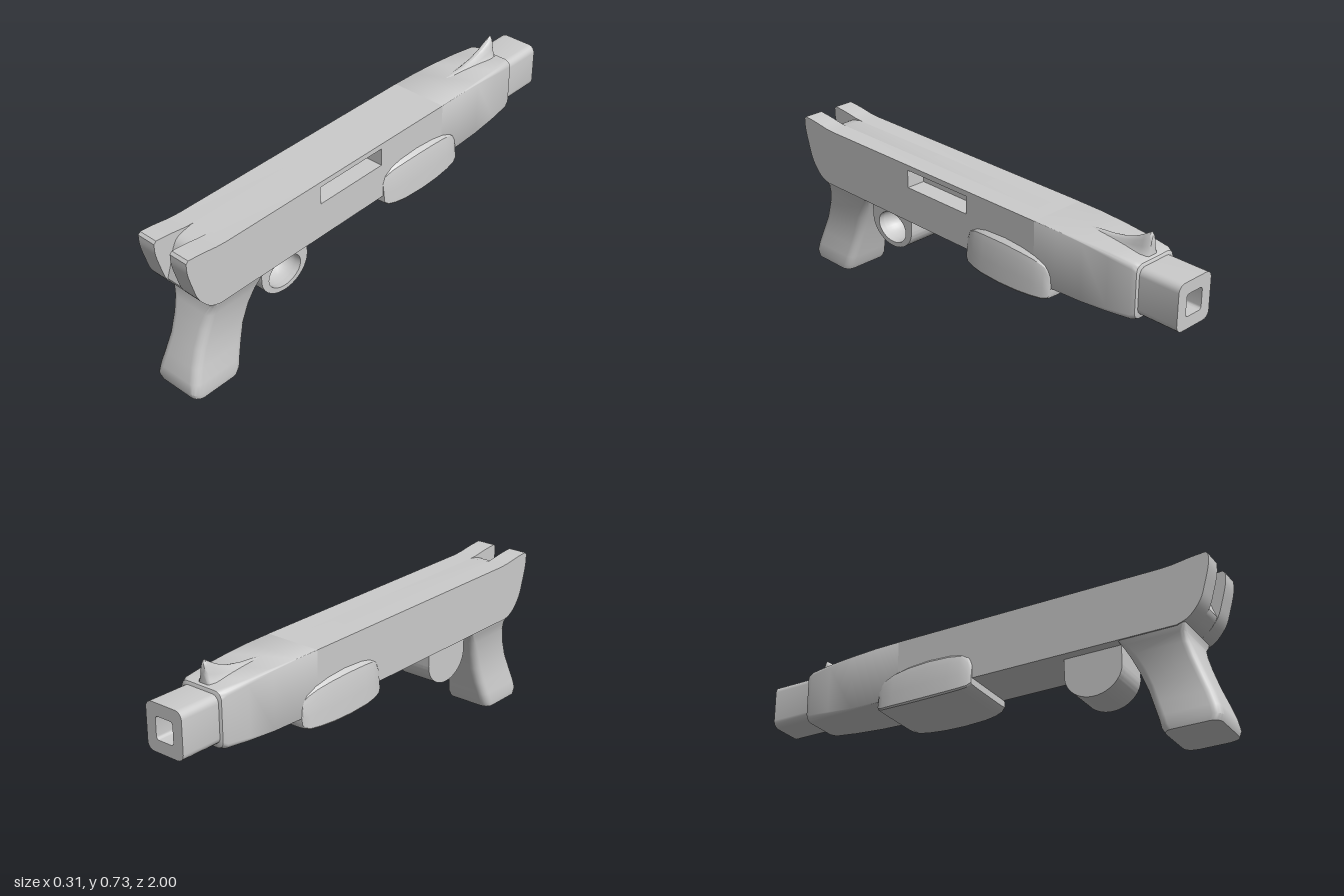
import * as THREE from 'three';
import { toCreasedNormals } from 'three/addons/utils/BufferGeometryUtils.js';

const material = new THREE.MeshStandardMaterial({ color: 0xcccccc });

function addMesh(parent, name, geometry, crease = 0.6) {
  const mesh = new THREE.Mesh(toCreasedNormals(geometry, crease), material);
  mesh.name = name;
  parent.add(mesh);
  return mesh;
}

// Skin over closed rings of [x, y, z] points, with fan caps at both ends
function loft(rings) {
  const n = rings[0].length;
  const pos = rings.flat(2);
  const index = [];
  for (let i = 0; i < rings.length - 1; i++) {
    for (let j = 0; j < n; j++) {
      const a = i * n + j, b = i * n + (j + 1) % n;
      index.push(a, b, b + n, a, b + n, a + n);
    }
  }
  [0, rings.length - 1].forEach((r, end) => {
    const c = pos.length / 3;
    for (let k = 0; k < 3; k++) pos.push(rings[r].reduce((s, p) => s + p[k], 0) / n);
    for (let j = 0; j < n; j++) {
      const a = r * n + j, b = r * n + (j + 1) % n;
      index.push(c, end ? a : b, end ? b : a);
    }
  });
  const g = new THREE.BufferGeometry();
  g.setAttribute('position', new THREE.Float32BufferAttribute(pos, 3));
  g.setIndex(index);
  return g;
}

// Counter-clockwise rounded rectangle as [u, v] pairs
function roundedRect(u0, u1, v0, v1, r, steps = 5) {
  const corners = [[u1 - r, v1 - r], [u0 + r, v1 - r], [u0 + r, v0 + r], [u1 - r, v0 + r]];
  return corners.flatMap(([u, v], q) => Array.from({ length: steps + 1 }, (_, i) => {
    const a = (q + i / steps) * Math.PI / 2;
    return [u + r * Math.cos(a), v + r * Math.sin(a)];
  }));
}

const toPoints = (pairs) => pairs.map(([a, b]) => new THREE.Vector2(a, b));
const smooth = (pairs, n) => new THREE.SplineCurve(toPoints(pairs)).getPoints(n);

// Side profile (z, y) extruded across the width between x0 and x1
function sideExtrude(shape, x0, x1) {
  const g = new THREE.ExtrudeGeometry(shape, { depth: x1 - x0, bevelEnabled: false, curveSegments: 24 });
  return g.rotateY(-Math.PI / 2).translate(x1, 0, 0);
}

export function createModel() {
  const model = new THREE.Group();
  model.name = 'model';

  // Rear body: two cheeks with a notched core between them
  const body = new THREE.Group();
  body.name = 'body';
  model.add(body);
  const cheekShape = () => new THREE.Shape([
    ...toPoints([[0.81, 0.647], [-0.35, 0.647], [-0.35, 0.4]]),
    ...smooth([[0.86, 0.4], [0.91, 0.42], [0.957, 0.475], [0.98, 0.54], [0.998, 0.61], [1, 0.655]], 20),
    ...smooth([[0.99, 0.665], [0.93, 0.66], [0.86, 0.65]], 6),
  ]);
  const slotted = cheekShape();
  slotted.holes.push(new THREE.Path(toPoints([[0.01, 0.55], [0.01, 0.625], [0.345, 0.625], [0.345, 0.55]])));
  addMesh(body, 'leftCheekWithSlot', sideExtrude(slotted, 0.04, 0.122));
  addMesh(body, 'rightCheek', sideExtrude(cheekShape(), -0.122, -0.04));
  const core = new THREE.Shape([
    ...toPoints([[-0.35, 0.647], [-0.35, 0.4]]),
    ...smooth([[0.86, 0.4], [0.91, 0.42], [0.95, 0.465]], 8),
    ...smooth([[0.955, 0.48], [0.937, 0.53], [0.922, 0.585], [0.895, 0.628], [0.83, 0.647]], 16),
  ]);
  addMesh(body, 'notchedCore', sideExtrude(core, -0.04, 0.04));

  // Tapered front body: z, half width, bottom, top, corner radius
  const front = [
    [-0.825, 0.088, 0.425, 0.622, 0.03], [-0.82, 0.098, 0.414, 0.632, 0.03], [-0.8, 0.104, 0.408, 0.638, 0.025],
    [-0.7, 0.112, 0.403, 0.643, 0.018], [-0.58, 0.118, 0.4, 0.646, 0.01], [-0.46, 0.121, 0.4, 0.648, 0.005],
    [-0.35, 0.122, 0.4, 0.647, 0.001],
  ];
  addMesh(body, 'frontBody', loft(front.map(([z, w, y0, y1, r]) =>
    roundedRect(-w, w, y0, y1, r).map(([x, y]) => [x, y, z]))));

  // Square barrel with a rounded bore
  const barrelShape = new THREE.Shape(toPoints(roundedRect(-0.088, 0.088, 0.43, 0.62, 0.03)));
  barrelShape.holes.push(new THREE.Path(toPoints(roundedRect(-0.042, 0.042, 0.48, 0.57, 0.012))));
  addMesh(model, 'barrel', new THREE.ExtrudeGeometry(barrelShape, { depth: 0.2, bevelEnabled: false })
    .translate(0, 0, -1));

  // Front sight fin: z, top, half width
  const sight = [[-0.808, 0.715, 0.022], [-0.8, 0.725, 0.032], [-0.775, 0.708, 0.038], [-0.74, 0.688, 0.037],
    [-0.69, 0.668, 0.033], [-0.62, 0.655, 0.027], [-0.52, 0.647, 0.02]];
  addMesh(model, 'frontSight', loft(sight.map(([z, top, w]) => {
    const y = 0.632, h = top - y;
    const half = [[1, 0], [0.75, 0.2], [0.58, 0.45], [0.42, 0.75], [0.2, 0.95]];
    const ring = [...half, [0, 1], ...half.map(([a, b]) => [-a, b]).reverse()];
    return ring.map(([a, b]) => [a * w, y + b * h, z]);
  })), 0.9);

  // Forend wrapped under the body: z, width scale, bottom, top
  const forend = [
    [-0.44, 0.8, 0.375, 0.44], [-0.435, 0.84, 0.36, 0.468], [-0.41, 0.9, 0.35, 0.492], [-0.36, 0.95, 0.345, 0.51],
    [-0.29, 0.985, 0.341, 0.52], [-0.2, 1, 0.34, 0.525], [-0.1, 0.98, 0.343, 0.522], [-0.05, 0.94, 0.348, 0.515],
    [-0.015, 0.89, 0.356, 0.498], [0, 0.84, 0.37, 0.475],
  ];
  const forendHalf = [[0.105, 0], [0.152, 0.02], [0.157, 0.06], [0.153, 0.4], [0.147, 0.75], [0.14, 0.92], [0.122, 1]];
  const forendRing = [...forendHalf, ...forendHalf.map(([x, t]) => [-x, t]).reverse()];
  addMesh(model, 'forend', loft(forend.map(([z, s, y0, y1]) =>
    forendRing.map(([x, t]) => [x * s, y0 + t * (y1 - y0), z]))));

  // Grip: y, front z, rear z, half width, corner radius
  const grip = [
    [0, 0.8, 0.975, 0.098, 0.03], [0.006, 0.775, 0.992, 0.108, 0.035], [0.03, 0.763, 1, 0.11, 0.035],
    [0.07, 0.752, 0.992, 0.104, 0.035], [0.13, 0.732, 0.972, 0.094, 0.035], [0.2, 0.71, 0.945, 0.087, 0.035],
    [0.28, 0.68, 0.917, 0.091, 0.035], [0.34, 0.653, 0.897, 0.099, 0.03], [0.38, 0.633, 0.885, 0.108, 0.02],
    [0.402, 0.62, 0.89, 0.117, 0.012], [0.42, 0.62, 0.89, 0.118, 0.01],
  ];
  addMesh(model, 'grip', loft(grip.map(([y, z0, z1, w, r]) =>
    roundedRect(z0, z1, -w, w, r).map(([z, x]) => [x, y, z]))));

  // Trigger housing with a bowl-shaped recess on one side
  const housing = new THREE.Group();
  housing.name = 'triggerHousing';
  model.add(housing);
  const rim = new THREE.Shape();
  rim.moveTo(0.62, 0.402);
  rim.lineTo(0.38, 0.402);
  rim.lineTo(0.38, 0.325);
  rim.absellipse(0.5, 0.325, 0.12, 0.105, Math.PI, Math.PI * 2, false);
  const backShape = rim.clone();
  const recess = new THREE.Path();
  recess.absellipse(0.5, 0.305, 0.083, 0.065, 0, Math.PI * 2, true);
  rim.holes.push(recess);
  addMesh(housing, 'housingRim', sideExtrude(rim, -0.05, 0.08));
  addMesh(housing, 'housingBack', sideExtrude(backShape, -0.08, -0.05));
  const bowl = new THREE.SphereGeometry(1, 32, 10, 0, Math.PI * 2, 0, Math.PI / 2);
  bowl.rotateZ(Math.PI / 2).scale(0.1, 0.065, 0.083).translate(0.055, 0.305, 0.5);
  // Turn the bowl inside out so its hollow shows
  const order = bowl.index.array;
  for (let i = 0; i < order.length; i += 3) [order[i], order[i + 1]] = [order[i + 1], order[i]];
  addMesh(housing, 'recessBowl', bowl);

  return model;
}
